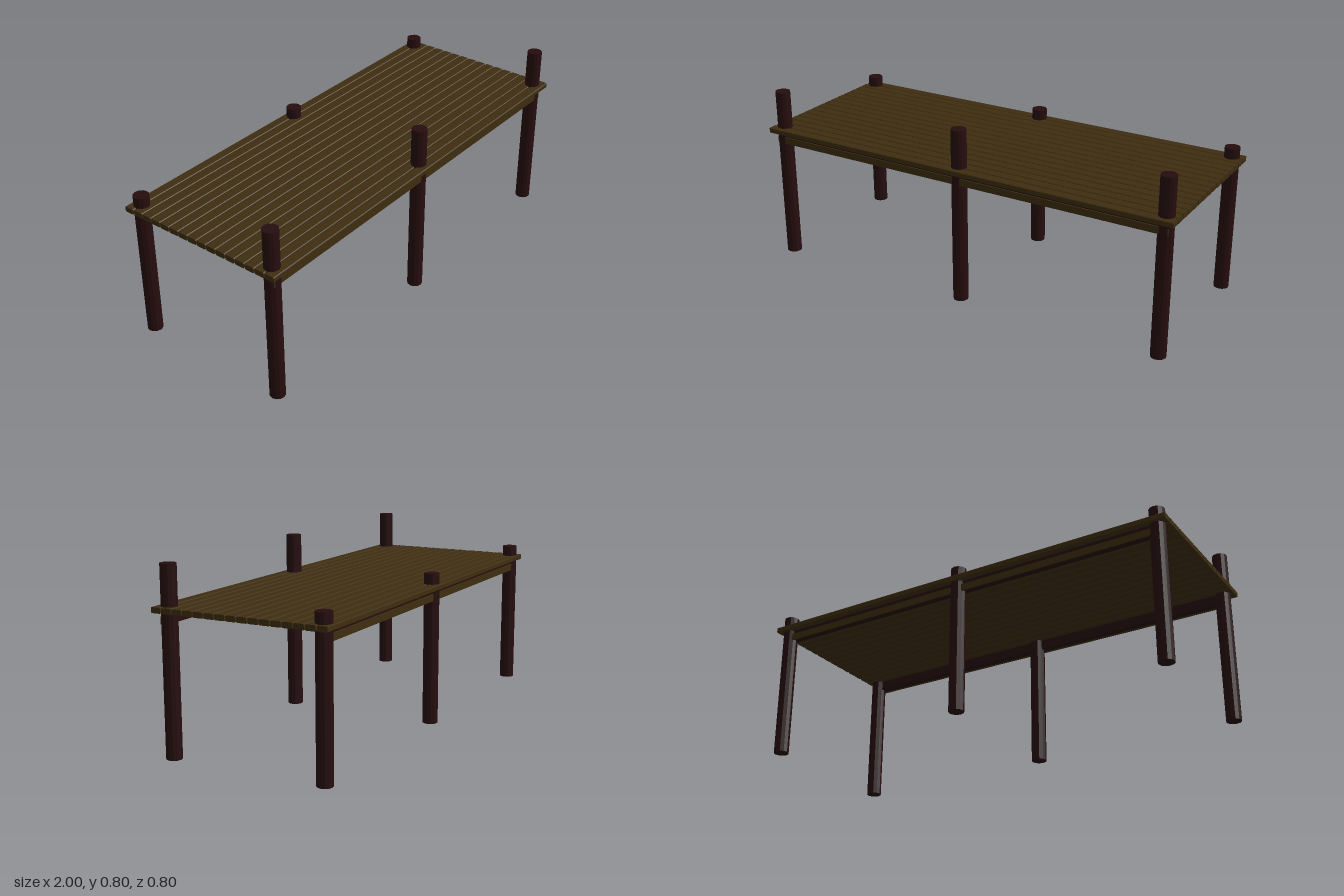
import * as THREE from 'three';

export function createModel() {
  const dock = new THREE.Group();
  dock.name = 'dock';
  const plankWood = new THREE.MeshStandardMaterial({ name: 'brown plank wood', color: 0x3e2d10, flatShading: true });
  const postWood = new THREE.MeshStandardMaterial({ name: 'dark post wood', color: 0x260d0f, flatShading: true });

  const add = (name, geometry, material, x, y, z) => {
    const mesh = new THREE.Mesh(geometry, material);
    mesh.name = name;
    mesh.position.set(x, y, z);
    dock.add(mesh);
  };

  // Plank: chamfered cross-section run along x
  const w = 0.0225, h = 0.012, c = 0.003;
  const section = new THREE.Shape([
    [-w + c, -h], [w - c, -h], [w, -h + c], [w, h - c],
    [w - c, h], [-w + c, h], [-w, h - c], [-w, -h + c],
  ].map(([x, y]) => new THREE.Vector2(x, y)));
  const plank = new THREE.ExtrudeGeometry(section, { depth: 2, bevelEnabled: false });
  plank.translate(0, 0, -1).rotateY(Math.PI / 2);

  // Deck of sixteen planks
  for (let i = 0; i < 16; i++) add('deckPlank', plank, plankWood, 0, 0.616, -0.375 + i * 0.05);

  // Posts, taller along the front
  for (const [name, z, height] of [['frontPost', 0.345, 0.8], ['backPost', -0.354, 0.675]]) {
    const post = new THREE.CylinderGeometry(0.034, 0.034, height, 12);
    for (const x of [-0.95, 0, 0.95]) add(name, post, postWood, x, height / 2, z);
  }

  // Bearers under the deck edges, each faced with a thin brown rail
  const bearer = new THREE.BoxGeometry(1.94, 0.044, 0.036);
  const rail = new THREE.BoxGeometry(1.944, 0.031, 0.006);
  for (const side of [1, -1]) {
    add('bearer', bearer, postWood, 0, 0.582, side * 0.35);
    add('sideRail', rail, plankWood, 0, 0.571, side * 0.371);
  }
  return dock;
}
